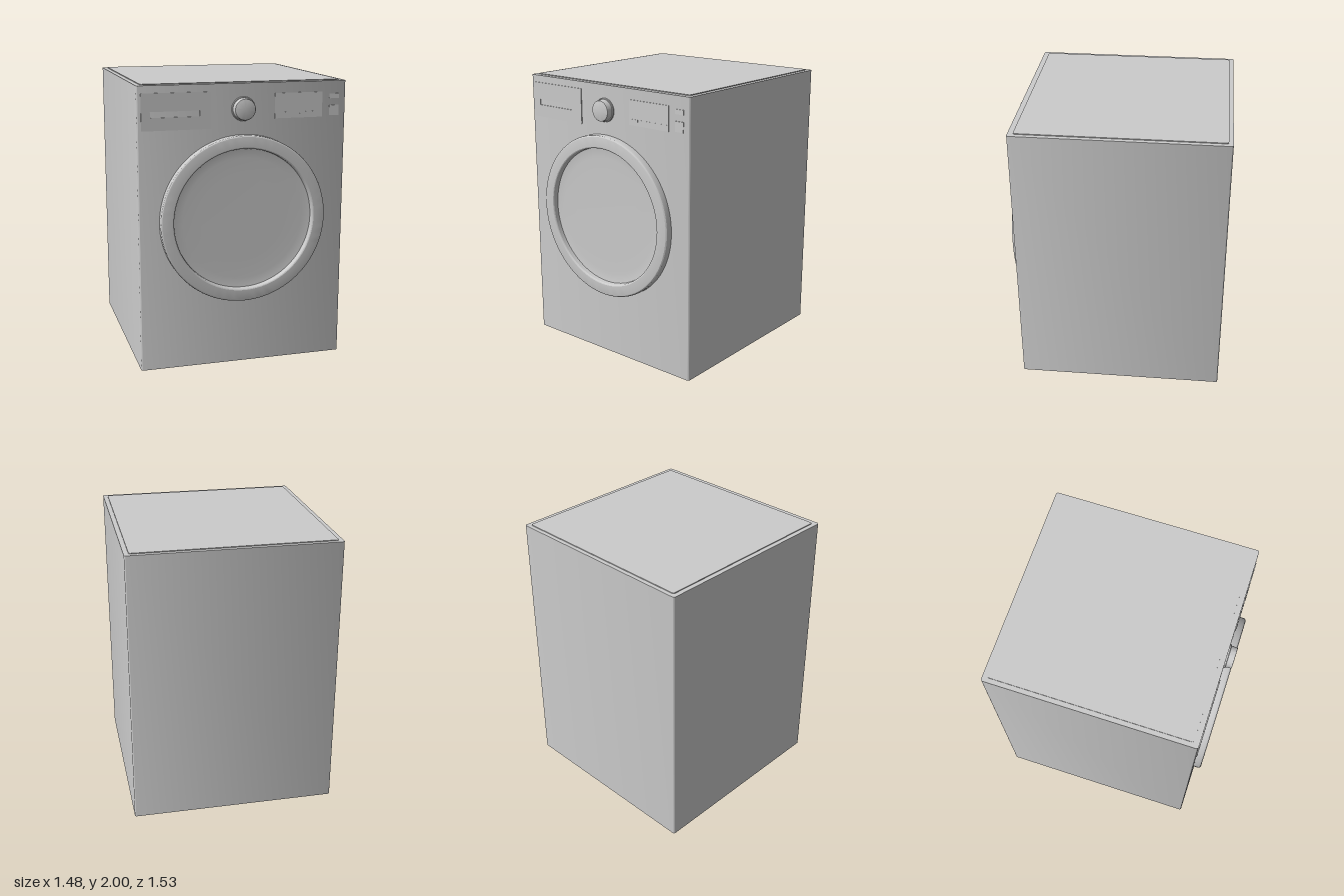
import * as THREE from 'three';
import { toCreasedNormals } from 'three/addons/utils/BufferGeometryUtils.js';

const FRONT = 0.713; // z of the cabinet's front face

// Rounded rectangle centred on (x, y)
function roundedRect(w, h, r, x = 0, y = 0, Type = THREE.Shape) {
  const s = new Type();
  const a = w / 2 - r, b = h / 2 - r;
  s.absarc(x + a, y + b, r, 0, Math.PI / 2);
  s.absarc(x - a, y + b, r, Math.PI / 2, Math.PI);
  s.absarc(x - a, y - b, r, Math.PI, Math.PI * 1.5);
  s.absarc(x + a, y - b, r, Math.PI * 1.5, Math.PI * 2);
  s.closePath();
  return s;
}

const extrude = (shape, depth) => toCreasedNormals(
  new THREE.ExtrudeGeometry(shape, { depth, bevelEnabled: false, curveSegments: 6 }), 0.6);

export function createModel() {
  const group = new THREE.Group();
  const material = new THREE.MeshStandardMaterial({ color: 0xcccccc });

  const add = (name, geometry, x = 0, y = 0, z = 0) => {
    const mesh = new THREE.Mesh(geometry, material);
    mesh.name = name;
    mesh.position.set(x, y, z);
    group.add(mesh);
    return mesh;
  };

  // Upright slab from a rounded plan
  const slab = (name, w, d, r, height, y, z) => {
    add(name, extrude(roundedRect(w, d, r), height), 0, y, z).rotation.x = -Math.PI / 2;
  };

  // Turned part facing forward; profile points are [radius, forward offset]
  const turned = (name, profile, y) => {
    const points = profile.map(([r, h]) => new THREE.Vector2(r, h));
    const geometry = toCreasedNormals(new THREE.LatheGeometry(points, 96), 0.45);
    add(name, geometry, -0.005, y, FRONT).rotation.x = Math.PI / 2;
  };

  // Thin raised plate on the front, given by its edges
  const plate = (name, x0, x1, y0, y1, height, base = 0) => {
    add(name, new THREE.BoxGeometry(x1 - x0, y1 - y0, height),
      (x0 + x1) / 2, (y0 + y1) / 2, FRONT + base + height / 2);
  };

  // Cabinet and raised top panel
  slab('cabinet', 1.476, 1.478, 0.015, 1.994, 0, -0.026);
  slab('topPanel', 1.41, 1.41, 0.015, 0.006, 1.994, -0.03);

  // Door: rounded ring around a shallow, slightly dished window
  turned('doorRing', [
    [0.59, 0], [0.59, 0.035], [0.587, 0.044], [0.58, 0.05], [0.572, 0.052],
    [0.508, 0.052], [0.502, 0.049], [0.498, 0.043], [0.495, 0.008],
  ], 1.055);
  turned('doorWindow', [
    [0.497, 0.012], [0.47, 0.008], [0.43, 0.006], [0.3, 0.005], [0, 0.005],
  ], 1.055);

  // Program knob with its base collar
  turned('knobCollar', [[0.083, 0], [0.083, 0.008], [0.08, 0.011], [0.07, 0.011]], 1.82);
  turned('programKnob', [
    [0.076, 0.008], [0.073, 0.05], [0.071, 0.053], [0.068, 0.054], [0, 0.054],
  ], 1.82);

  // Detergent drawer with a finger recess
  const drawer = roundedRect(0.48, 0.25, 0.004, -0.47, 1.818);
  drawer.holes.push(roundedRect(0.34, 0.04, 0.004, -0.48, 1.8, THREE.Path));
  add('detergentDrawer', extrude(drawer, 0.006), 0, 0, FRONT);

  // Display and the row of small keys across it
  plate('display', 0.22, 0.564, 1.747, 1.92, 0.005);
  const keys = 8, pitch = 0.344 / keys;
  for (let i = 0; i < keys; i++) {
    const x = 0.22 + pitch * i;
    plate('displayKey', x + 0.008, x + pitch - 0.008, 1.775, 1.79, 0.002, 0.005);
  }

  // Side buttons
  plate('powerButton', 0.617, 0.687, 1.872, 1.905, 0.005);
  plate('startButton', 0.617, 0.687, 1.755, 1.826, 0.005);

  return group;
}
